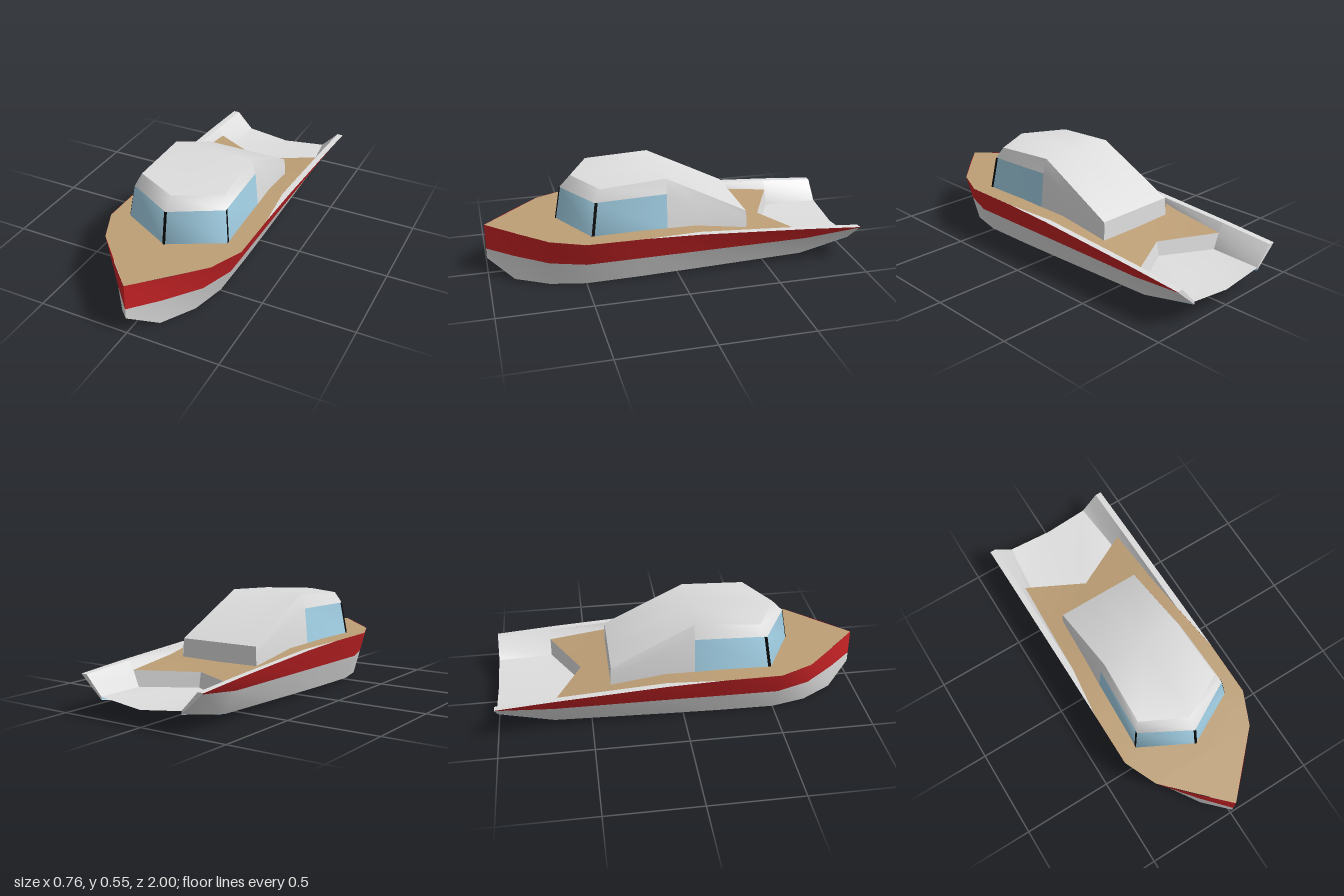
import * as THREE from 'three';
import { toCreasedNormals, mergeGeometries } from 'three/addons/utils/BufferGeometryUtils.js';

const mat = (name, color) => {
  const m = new THREE.MeshStandardMaterial({ color, side: THREE.DoubleSide });
  m.name = name;
  return m;
};

// Surface through rows of [x, y, z] points; it faces (row direction) x (column direction)
function grid(rows) {
  const n = rows[0].length, index = [];
  for (let i = 0; i < rows.length - 1; i++)
    for (let j = 0; j < n - 1; j++) {
      const a = i * n + j, b = a + n;
      index.push(a, b, a + 1, a + 1, b, b + 1);
    }
  const g = new THREE.BufferGeometry();
  g.setAttribute('position', new THREE.Float32BufferAttribute(rows.flat(2), 3));
  g.setIndex(index);
  return g;
}

// The same surface on both sides of the centre line
function mirrored(rows, crease = 0.6) {
  const other = rows.map(r => r.map(([x, y, z]) => [-x, y, z])).reverse();
  return toCreasedNormals(mergeGeometries([grid(rows), grid(other)]), crease);
}

export function createModel() {
  const white = mat('white paint', 0xdedede);
  const red = mat('red paint', 0xcd2427);
  const wood = mat('deck wood', 0xbd9f76);
  const glass = mat('blue glass', 0xa3d1e6);
  const black = mat('black trim', 0x080808);

  const model = new THREE.Group();
  model.name = 'boat';
  const cabin = new THREE.Group();
  cabin.name = 'cabin';
  model.add(cabin);
  const add = (name, geo, material, parent = model) => {
    const m = new THREE.Mesh(geo, material);
    m.name = name;
    parent.add(m);
  };

  // Hull stations: z, gunwale x, gunwale y, paint line y, bottom x, bottom y, bottom z
  const stations = [
    [1, 0, 0.287, 0.146, 0, 0.09, 1],
    [0.86, 0.14, 0.287, 0.146, 0.11, 0, 0.865],
    [0.69, 0.3, 0.287, 0.146, 0.217, 0.003, 0.69],
    [0.51, 0.38, 0.287, 0.146, 0.265, 0.007, 0.5],
    [0.2, 0.38, 0.285, 0.15, 0.27, 0.014, 0.2],
    [-0.1, 0.38, 0.275, 0.154, 0.27, 0.022, -0.1],
    [-0.7, 0.38, 0.238, 0.165, 0.268, 0.04, -0.7],
    [-1, 0.38, 0.215, 0.208, 0.25, 0.1, -1],
  ];
  const hull = stations.map(([z, x, y, py, bx, by, bz]) => {
    const t = (py - by) / (y - by);
    return [[bx, by, bz], [bx + (x - bx) * t, py, bz + (z - bz) * t], [x, y, z]];
  });
  add('lowerHull', mirrored(hull.map(r => r.slice(0, 2))), white);
  add('upperHull', mirrored(hull.map(r => r.slice(1))), red);

  // Sloping panel under the bow
  add('forefoot', mirrored([
    [[0, 0.09, 1], [0, 0.09, 1]],
    [[0, 0, 0.865], [0.11, 0, 0.865]],
  ]), white);

  // Blue strips joining the hull's lower edge to the ramp
  add('aftStrip', mirrored([
    [[0.268, 0.04, -0.7], [0.28, 0.105, -0.7]],
    [[0.25, 0.098, -1], [0.25, 0.115, -1]],
  ]), glass);

  // Deck, ending in a V notch above the stern ramp
  add('deck', mirrored([
    [[0, 0.286, 1], [0, 0.286, 1]],
    [[0.3, 0.286, 0.69], [0, 0.286, 0.69]],
    [[0.38, 0.286, 0.51], [0, 0.286, 0.51]],
    [[0.38, 0.284, 0.2], [0, 0.284, 0.2]],
    [[0.345, 0.273, -0.1], [0, 0.273, -0.1]],
    [[0.33, 0.222, -0.39], [0, 0.218, -0.39]],
    [[0.315, 0.19, -0.7], [0, 0.188, -0.54]],
  ]), wood);

  // Bulwark rim and its sloping inner face
  add('bulwarkRim', mirrored([
    [[0.38, 0.285, 0.2], [0.38, 0.285, 0.2]],
    [[0.38, 0.275, -0.1], [0.345, 0.275, -0.1]],
    [[0.38, 0.238, -0.7], [0.345, 0.238, -0.7]],
    [[0.38, 0.215, -1], [0.345, 0.215, -1]],
  ]), white);
  add('bulwarkInner', mirrored([
    [[0.345, 0.275, -0.1], [0.345, 0.273, -0.1]],
    [[0.345, 0.257, -0.39], [0.33, 0.222, -0.39]],
    [[0.345, 0.238, -0.7], [0.315, 0.19, -0.7]],
  ]), white);
  add('rampSides', mirrored([
    [[0.345, 0.238, -0.7], [0.315, 0.19, -0.7], [0.28, 0.105, -0.7]],
    [[0.345, 0.215, -1], [0.3, 0.167, -1], [0.25, 0.115, -1]],
  ]), white);

  // End faces of the two hull sides at the stern
  add('transomEnds', mirrored([
    [[0.25, 0.115, -1], [0.25, 0.1, -1]],
    [[0.3, 0.167, -1], [0.315, 0.157, -1]],
    [[0.345, 0.215, -1], [0.38, 0.215, -1]],
  ]), white);

  // Stern ramp and the step down from the deck
  const rampFront = [[0.28, 0.105, -0.7], [0, 0.11, -0.555]];
  add('rampStep', mirrored([[[0.315, 0.19, -0.7], [0, 0.188, -0.54]], rampFront]), white);
  add('rampFloor', mirrored([rampFront, [[0.25, 0.115, -1], [0, 0.085, -1]]]), white);

  // Cabin corners from base to eave to roof: centre front, front corner, middle, quarter, back
  const C = [[0, 0.286, 0.62], [0, 0.462, 0.59], [0, 0.525, 0.53]];
  const F = [[0.285, 0.286, 0.47], [0.263, 0.463, 0.445], [0.237, 0.525, 0.41]];
  const M = [[0.268, 0.279, 0.06], [0.25, 0.468, 0.06], [0.225, 0.545, 0.06]];
  const Q = [[0.258, 0.273, -0.1], [0.246, 0.4, -0.1], [0.229, 0.465, -0.1]];
  const B = [[0.24, 0.218, -0.39], [0.238, 0.28, -0.39], [0.235, 0.32, -0.385]];
  const lower = p => p.slice(0, 2), upper = p => p.slice(1);
  const mid = ([, y, z]) => [0, y, z];
  add('windows', mirrored([C, F, M].map(lower), 1.2), glass, cabin);
  add('roofEdge', mirrored([C, F, M].map(upper), 1.2), white, cabin);
  add('rearSides', mirrored([M, Q, B]), white, cabin);
  add('roof', mirrored([[F[2], C[2]], [M[2], mid(M[2])], [B[2], mid(B[2])]], 0.7), white, cabin);
  add('backWall', mirrored([[B[2], mid(B[2])], [B[0], mid(B[0])]]), white, cabin);

  // Black window posts: flat strips lying just off the glass, beginning at corner a towards b
  const strip = (a, b, width, [ox, oz]) => {
    const edge = [0, 1].map(k => [a[k][0] + ox, a[k][1], a[k][2] + oz]);
    const far = edge.map(([x, y, z], k) => {
      const dx = b[k][0] - a[k][0], dz = b[k][2] - a[k][2], s = width / Math.hypot(dx, dz);
      return [x + dx * s, y, z + dz * s];
    });
    return mirrored([edge, far]);
  };
  add('centrePost', strip(C, F, 0.009, [0, 0.0015]), black, cabin);
  add('cornerPosts', strip(F, M, 0.016, [0.0015, 0]), black, cabin);

  return model;
}
